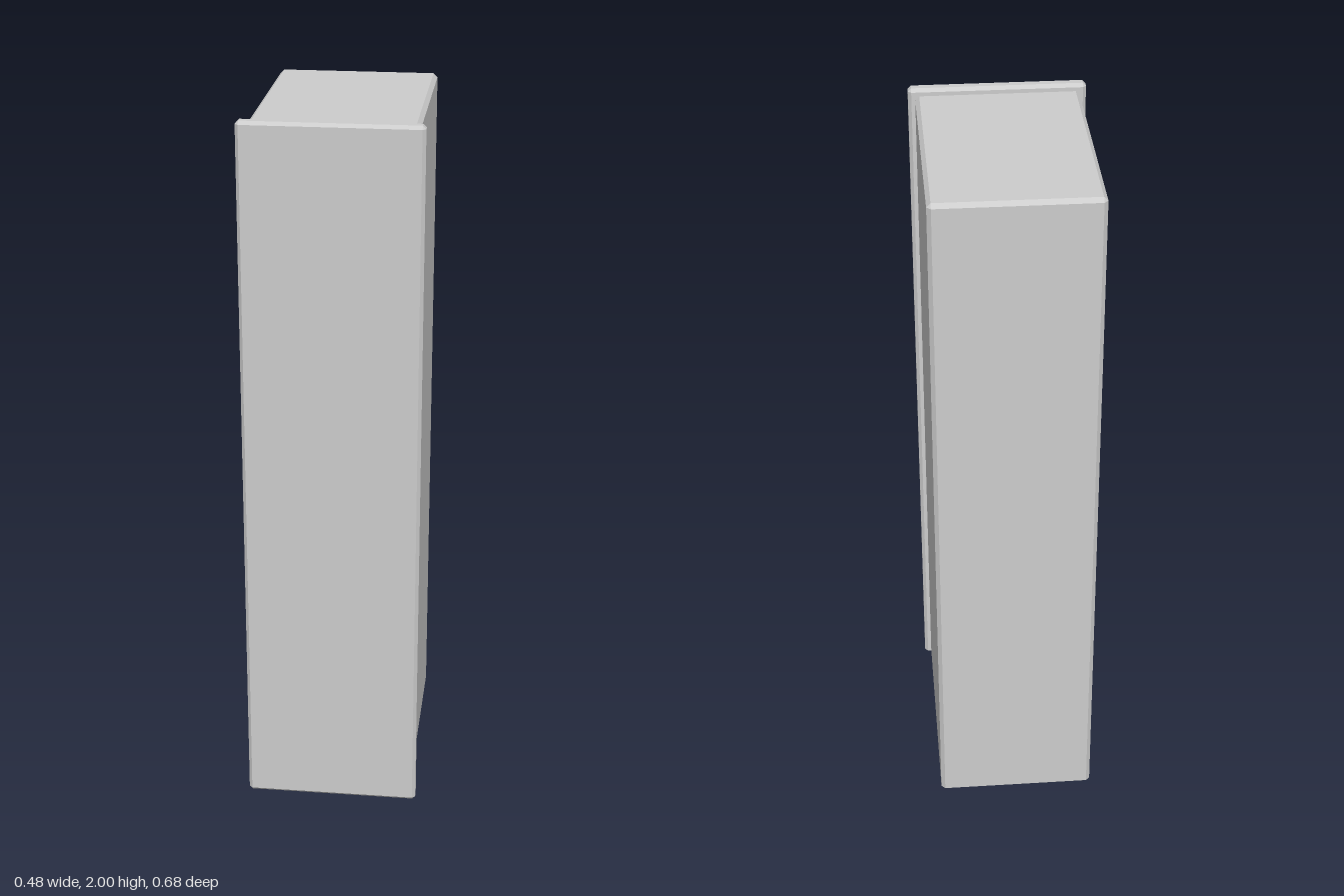
import * as THREE from 'three';
import { ConvexGeometry } from 'three/addons/geometries/ConvexGeometry.js';

// Box between two corners with every edge cut by a single flat bevel
function bevelledBox(min, max, bevel) {
  const centre = min.map((v, i) => (v + max[i]) / 2);
  const half = min.map((v, i) => (max[i] - v) / 2);
  const points = [];
  for (const sx of [-1, 1]) for (const sy of [-1, 1]) for (const sz of [-1, 1]) {
    const sign = [sx, sy, sz];
    // each corner becomes three points, one on each adjoining face
    for (let face = 0; face < 3; face++) {
      const p = sign.map((s, i) => centre[i] + s * (half[i] - (i === face ? 0 : bevel)));
      points.push(new THREE.Vector3(...p));
    }
  }
  return new ConvexGeometry(points);
}

export function createModel() {
  const group = new THREE.Group();
  group.name = 'cabinet';

  const grey = new THREE.MeshStandardMaterial({ color: 0xcccccc });
  grey.name = 'light grey';

  const add = (name, min, max, bevel) => {
    const mesh = new THREE.Mesh(bevelledBox(min, max, bevel), grey);
    mesh.name = name;
    group.add(mesh);
  };

  // Tall main body
  add('body', [-0.222, 0.036, -0.343], [0.222, 1.985, 0.304], 0.011);
  // Overhanging front panel
  add('frontPanel', [-0.241, 0.027, 0.304], [0.241, 2.0, 0.341], 0.009);
  // Hatch plate under the body, set towards the front
  add('bottomPlate', [-0.21, 0.022, -0.245], [0.21, 0.04, 0.285], 0.003);
  // Small grip below the hatch
  add('bottomHandle', [0.121, 0, 0.008], [0.141, 0.026, 0.155], 0.005);

  return group;
}
